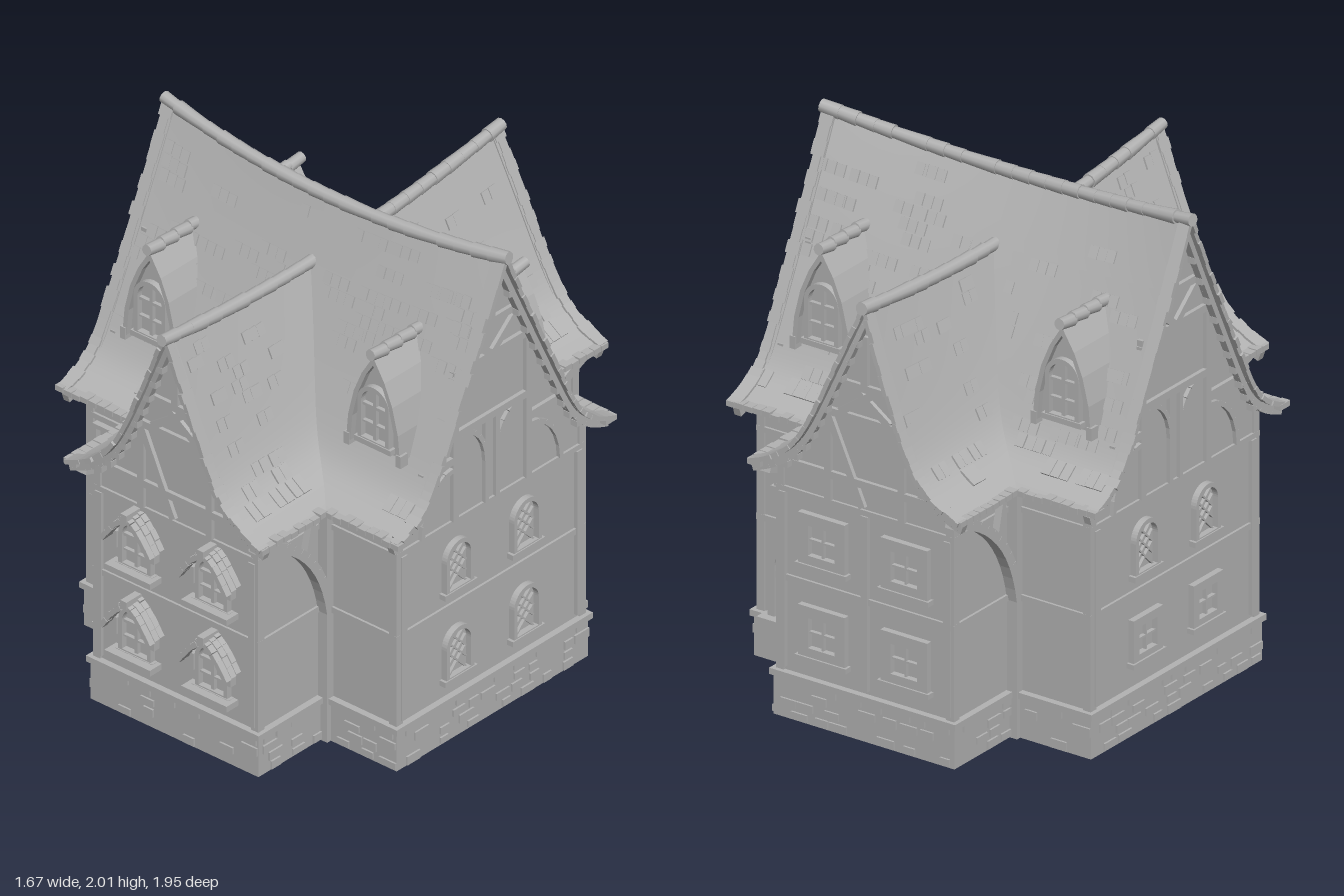
import * as THREE from 'three';
import { mergeGeometries } from 'three/addons/utils/BufferGeometryUtils.js';

const V = (x, y, z) => new THREE.Vector3(x, y, z);
const X = V(1, 0, 0), Z = V(0, 0, 1);
const SIDES = [-1, 1];
const EAVE = 1.02, TOP = 1.925, WING_TOP = 1.69;
const A = 0.74, B = 0.51, C = 0.39, D = 0.87; // half sizes of main block (A, B) and wing (C, D)

export function createModel() {
  const house = new THREE.Group();
  house.name = 'house';
  const grey = new THREE.MeshStandardMaterial({ color: 0xb2b2b2, side: THREE.DoubleSide });
  grey.name = 'plain grey';
  let seed = 7;
  const rnd = (a = 0, b = 1) => {
    seed = (seed * 16807) % 2147483647;
    return a + (b - a) * seed / 2147483647;
  };

  // ---- helpers
  const part = (name, geos, parent = house) => {
    const mesh = new THREE.Mesh(mergeGeometries(geos.map(g => (g.index ? g.toNonIndexed() : g))), grey);
    mesh.name = name;
    parent.add(mesh);
    return mesh;
  };
  const between = (geo, a, b, side) => {
    const dir = b.clone().sub(a).normalize();
    const out = side.clone().cross(dir).normalize();
    const m = new THREE.Matrix4().makeBasis(dir.clone().cross(out), dir, out);
    return geo.applyMatrix4(m.setPosition(a.clone().add(b).multiplyScalar(0.5)));
  };
  const beam = (a, b, w, d, side) => between(new THREE.BoxGeometry(w, a.distanceTo(b), d), a, b, side);
  const rod = (a, b, r, side) => between(new THREE.CylinderGeometry(r, r * 1.12, a.distanceTo(b), 10), a, b, side);
  const box = (w, h, d, x, y, z) => new THREE.BoxGeometry(w, h, d).translate(x, y, z);
  const extrude = (shape, depth) => new THREE.ExtrudeGeometry(shape, { depth, bevelEnabled: false, curveSegments: 10 });
  const poly = pts => new THREE.Shape(pts.map(p => new THREE.Vector2(p[0], p[1])));

  // ---- roof profile: half width at a height, with flared eaves and sagging ridges
  const mainWidth = y => { const h = (y - EAVE) / (TOP - EAVE); return 0.455 * (1 - h) + 0.135 * Math.exp(-h / 0.05) * (1 - h); };
  const wingWidth = y => {
    if (y >= WING_TOP) return 0;
    const h = (y - EAVE) / (WING_TOP - EAVE);
    return 0.3 * (1 - h) + 0.17 * Math.exp(-h / 0.1) * (1 - h);
  };
  const warp = (x, y, z) => {
    const k = (y - EAVE) / (TOP - EAVE), u = (x / 0.82) ** 2;
    return V(x + 0.035 * k * z / 0.95, y + k * (0.055 * u + 0.09 * (z / 0.95) ** 2), z + 0.045 * k * k * (1 - u));
  };
  const mainAt = (x, y, s) => warp(x, y, s * mainWidth(y));
  const wingAt = (z, y, s) => warp(s * wingWidth(y), y, z);
  const patch = (rows, cols, fn) => {
    const pos = [], idx = [];
    for (let i = 0; i <= rows; i++) for (let j = 0; j <= cols; j++) {
      pos.push(...fn(i / rows, j / cols).toArray());
      if (i < rows && j < cols) {
        const a = i * (cols + 1) + j, b = a + cols + 1;
        idx.push(a, a + 1, b, b, a + 1, b + 1);
      }
    }
    const g = new THREE.BufferGeometry();
    g.setAttribute('position', new THREE.Float32BufferAttribute(pos, 3));
    g.setIndex(idx);
    g.computeVertexNormals();
    return g;
  };
  const lerp = THREE.MathUtils.lerp;
  const lowY = t => EAVE + (WING_TOP - EAVE) * t ** 1.8;
  const mainRoof = [], wingRoof = [];
  for (const sx of SIDES) for (const sz of SIDES) {
    mainRoof.push(patch(24, 10, (t, j) => mainAt(sx * lerp(wingWidth(lowY(t)), 0.81, j), lowY(t), sz)));
    mainRoof.push(patch(6, 10, (t, j) => mainAt(sx * 0.81 * j, lerp(WING_TOP, TOP, t), sz)));
    wingRoof.push(patch(24, 10, (t, j) => wingAt(sz * lerp(mainWidth(lowY(t)), 0.94, j), lowY(t), sx)));
  }
  part('mainRoof', mainRoof);
  part('wingRoof', wingRoof);

  // ---- ridge caps, verge tiles, bargeboards, eave tiles and scattered shingles
  const caps = [], verge = [], barge = [], eave = [], shingles = [];
  for (let i = 0; i < 22; i++) {
    const x = -0.83 + i * 1.66 / 22;
    caps.push(rod(mainAt(x, TOP, 1), mainAt(x + 0.08, TOP, 1), rnd(0.022, 0.026), Z));
  }
  for (const s of SIDES) for (let i = 0; i < 11; i++) {
    const z = s * (0.1 + i * 0.078);
    caps.push(rod(wingAt(z, WING_TOP, 1), wingAt(z + s * 0.082, WING_TOP, 1), rnd(0.022, 0.026), X));
  }
  const edge = (at, top, side, end, boardEnd) => {
    const n = 26, yAt = i => EAVE + (top - EAVE) * (i / n) ** 1.5;
    for (const e of SIDES) for (const s of SIDES) for (let i = 0; i < n; i++) {
      const a = at(e * end, yAt(i), s), b = at(e * end, yAt(i + 1), s);
      verge.push(beam(a, b, rnd(0.035, 0.06), 0.018, side));
      const c = at(e * boardEnd, yAt(i), s), d = at(e * boardEnd, yAt(i + 1), s);
      c.y -= 0.03; d.y -= 0.03;
      barge.push(beam(c, d, 0.03, 0.035, side));
      if (i % 2 && i > 3 && i < n - 2) {
        const out = c.clone().lerp(d, 0.5).add(V(0, -0.025, 0));
        barge.push(box(0.03, 0.025, 0.03, out.x, out.y, out.z));
      }
    }
  };
  edge(mainAt, TOP, X, 0.8, 0.785);
  edge(wingAt, WING_TOP, Z, 0.93, 0.915);
  for (const sx of SIDES) for (const sz of SIDES) {
    for (let x = 0.49; x < 0.82; x += 0.04) eave.push(box(0.036, 0.022, 0.06, sx * x, EAVE + rnd(-0.006, 0.002), sz * 0.57));
    for (let z = 0.61; z < 0.95; z += 0.04) eave.push(box(0.06, 0.022, 0.036, sx * 0.45, EAVE + rnd(-0.006, 0.002), sz * z));
  }
  for (const s of SIDES) for (let i = 0; i < 75; i++) {
    const y = EAVE + 0.04 + 0.045 * Math.floor(rnd(0, 18)), x = rnd(-0.76, 0.76);
    for (let j = 0; j < 3; j++) {
      const u = x + j * 0.04;
      if (Math.abs(u) > wingWidth(y) + 0.05 && Math.abs(u) < 0.79)
        shingles.push(beam(mainAt(u, y, s), mainAt(u, y + 0.04, s), 0.037, rnd(0.008, 0.016), X));
    }
  }
  for (const s of SIDES) for (const e of SIDES) for (let i = 0; i < 22; i++) {
    const y = EAVE + 0.04 + 0.045 * Math.floor(rnd(0, 13)), z = rnd(mainWidth(y) + 0.05, 0.84);
    for (let j = 0; j < 2; j++)
      shingles.push(beam(wingAt(e * (z + j * 0.04), y, s), wingAt(e * (z + j * 0.04), y + 0.04, s), 0.037, rnd(0.008, 0.016), Z));
  }
  part('ridgeCaps', caps);
  part('vergeTiles', verge);
  part('bargeboards', barge);
  part('eaveTiles', eave);
  part('shingles', shingles);

  // ---- hollow cross-shaped walls, stone base and floor bands
  const cross = e => {
    const a = A + e, b = B + e, c = C + e, d = D + e;
    return [[a, b], [c, b], [c, d], [-c, d], [-c, b], [-a, b], [-a, -b], [-c, -b], [-c, -d], [c, -d], [c, -b], [a, -b]];
  };
  const ring = (y0, y1, out, inner = -0.04) => {
    const s = poly(cross(out));
    s.holes.push(poly(cross(inner)));
    return extrude(s, y1 - y0).rotateX(-Math.PI / 2).translate(0, y0, 0);
  };
  part('walls', [ring(0, 1.03, 0)]);
  part('stoneBase', [ring(0, 0.165, 0.015), ring(0.16, 0.185, 0.027)]);
  part('floorBands', [ring(0.545, 0.57, 0.01), ring(0.9, 0.922, 0.01)]);
  const gables = [], ys = Array.from({ length: 25 }, (_, i) => (i / 24) ** 1.6);
  const outline = (at, top, axis, limit) => {
    const half = s => ys.map(t => { const p = at(EAVE + (top - EAVE) * t, s); return [THREE.MathUtils.clamp(p[axis], -limit, limit), p.y - 0.012]; });
    return poly([...half(1), ...half(-1).reverse()]);
  };
  for (const e of SIDES) {
    gables.push(extrude(outline((y, s) => mainAt(e * A, y, s), TOP, 'z', B), 0.04).rotateY(-Math.PI / 2).translate(e > 0 ? A : -A + 0.04, 0, 0));
    gables.push(extrude(outline((y, s) => wingAt(e * D, y, s), WING_TOP, 'x', C), 0.04).translate(0, 0, e > 0 ? D - 0.04 : -D));
  }
  part('gableWalls', gables);

  // Base stones, scattered along every straight wall, and posts at each corner
  const stones = [], posts = [], pts = cross(0.015);
  pts.forEach(([x, z], i) => {
    const [x2, z2] = pts[(i + 1) % pts.length], len = Math.hypot(x2 - x, z2 - z), alongX = z === z2;
    for (let r = 0; r < 4; r++) for (let u = 0.04; u < len - 0.04; u += rnd(0.07, 0.13)) {
      if (rnd() < 0.45) continue;
      const w = rnd(0.04, 0.08), t = u / len, h = rnd(0.025, 0.036);
      stones.push(box(alongX ? w : 0.016, h, alongX ? 0.016 : w, lerp(x, x2, t), 0.022 + r * 0.042, lerp(z, z2, t)));
    }
    posts.push(box(0.035, 0.85, 0.035, Math.sign(x) * (Math.abs(x) - 0.023), 0.6, Math.sign(z) * (Math.abs(z) - 0.023)));
  });
  part('baseStones', stones);
  part('cornerPosts', posts);

  // ---- curved braces beside the wing, under the eaves
  const braces = [];
  for (const sx of SIDES) for (const sz of SIDES) {
    const x = sx * 0.415;
    const curve = new THREE.QuadraticBezierCurve3(V(x, 0.55, sz * 0.525), V(x, 0.9, sz * 0.58), V(x, 1, sz * 0.92)).getPoints(12);
    for (let i = 0; i < 12; i++) braces.push(beam(curve[i], curve[i + 1], 0.045, 0.04, X));
    braces.push(box(0.045, 1.02, 0.04, x, 0.51, sz * 0.525));
    braces.push(box(0.045, 0.03, 0.4, x, 1.0, sz * 0.72));
    braces.push(beam(V(x, 0.83, sz * 0.64), V(x, 1, sz * 0.6), 0.03, 0.025, X));
  }
  part('eaveBraces', braces);

  // ---- wall faces: local x to the right, y up, z outwards
  const face = (name, turn, dist) => {
    const g = new THREE.Group();
    g.name = name;
    g.rotation.y = turn;
    g.position.set(Math.sin(turn) * dist, 0, Math.cos(turn) * dist);
    house.add(g);
    return g;
  };
  const bar = (u1, v1, u2, v2, w = 0.03, d = 0.024, z = 0.004) => between(new THREE.BoxGeometry(d, Math.hypot(u2 - u1, v2 - v1), w), V(u1, v1, z), V(u2, v2, z), Z);
  const strut = (u1, v1, u2, v2, w) => between(new THREE.BoxGeometry(0.024, Math.hypot(u2 - u1, v2 - v1), w ?? 0.03), V(u1, v1, 0.004), V(u2, v2, 0.004), Z).applyMatrix4(new THREE.Matrix4());
  const flat = (u1, v1, u2, v2, w = 0.03, d = 0.024, z = 0.004) =>
    new THREE.BoxGeometry(Math.hypot(u2 - u1, v2 - v1), w, d).rotateZ(Math.atan2(v2 - v1, u2 - u1)).translate((u1 + u2) / 2, (v1 + v2) / 2, z);
  const lines = list => list.map(l => flat(...l));
  const arch = (w, y0, y1) => {
    const s = new THREE.Shape();
    s.moveTo(-w, y0).lineTo(w, y0).lineTo(w, y1 - w).absarc(0, y1 - w, w, 0, Math.PI).lineTo(-w, y0);
    return s;
  };
  const archWindow = (parent, name, u, v, w, h, lattice) => {
    const s = arch(w + 0.018, v - 0.015, v + h + 0.018);
    s.holes.push(arch(w, v, v + h));
    const bars = lattice
      ? SIDES.flatMap(k => [-0.5, 0, 0.5].map(o => flat(-w * 0.8, v + h * (0.5 + o * 0.5) - k * w * 0.8, w * 0.8, v + h * (0.5 + o * 0.5) + k * w * 0.8, 0.007, 0.012, 0.006)))
      : lines([[0, v, 0, v + h, 0.014], [-w, v + h * 0.65, w, v + h * 0.65, 0.012], [-w, v + h * 0.3, w, v + h * 0.3, 0.008]]);
    part(name, [extrude(s, 0.03).translate(0, 0, -0.005), box(w * 2 + 0.06, 0.022, 0.04, 0, v - 0.016, 0.01), ...bars], parent).position.x = u;
  };
  const squareWindow = (parent, name, u, v, r, rim) => {
    const s = poly([[-r - rim, -r - rim], [r + rim, -r - rim], [r + rim, r + rim], [-r - rim, r + rim]]);
    s.holes.push(poly([[-r, -r], [r, -r], [r, r], [-r, r]]));
    part(name, [extrude(s, 0.025), ...lines([[-r, 0, r, 0, 0.008], [0, -r, 0, r, 0.008]]),
      box(2 * (r + rim) + 0.02, 0.02, 0.045, 0, -r - rim, 0.01)], parent).position.set(u, v, 0);
  };
  const hood = (parent, u, v) => {
    const tiles = [];
    for (const s of SIDES) for (let i = 0; i < 5; i++) {
      const q = t => [s * 0.115 * (1 - t), v + 0.125 * Math.sin(t * 1.4) ];
      const [a, b] = q(i / 5), [c, d] = q((i + 1) / 5);
      for (let j = 0; j < 3; j++) tiles.push(flat(a, b, c, d, 0.02, 0.027, 0.012 + j * 0.027).translate(0, -j * 0.006 + rnd(-0.003, 0.003), 0));
    }
    tiles.push(box(0.03, 0.03, 0.09, 0, v + 0.125, 0.04));
    for (const s of SIDES) tiles.push(box(0.018, 0.07, 0.03, s * 0.09, v - 0.025, 0.015));
    part('windowHood', tiles, parent).position.x = u;
  };

  const front = face('frontFace', 0, D), back = face('backFace', Math.PI, D);
  const right = face('leftFace', Math.PI / 2, A), left = face('rightFace', -Math.PI / 2, A);
  for (const f of [front, back]) part('gableTimbers', lines([
    [-0.38, 1.025, 0.38, 1.025], [-0.165, 0.92, -0.165, 1.27], [0.165, 0.92, 0.165, 1.27], [-0.18, 1.28, 0.18, 1.28],
    [-0.16, 1.26, -0.01, 0.93], [-0.11, 1.41, 0.11, 1.41], [-0.11, 1.29, 0.06, 1.41], [0.11, 1.29, -0.06, 1.41],
    [0, 1.41, 0, 1.62], [-0.37, 0.2, -0.37, 0.9], [0.37, 0.2, 0.37, 0.9]]), f);
  for (const f of [right, left]) {
    part('gableTimbers', lines([
      [-0.2, 0.92, -0.2, 1.53], [0.2, 0.92, 0.2, 1.53], [-0.2, 1.28, 0.2, 1.28], [-0.21, 1.54, 0.21, 1.54],
      [-0.38, 1.18, -0.2, 1.18], [0.2, 1.18, 0.38, 1.18], [-0.12, 1.68, 0.12, 1.68], [-0.14, 1.66, 0, 1.54],
      [0.14, 1.66, 0, 1.54], [0, 1.68, 0, 1.86], [-0.03, 0.92, -0.03, 1.28, 0.02], [0.03, 0.92, 0.03, 1.28, 0.02],
      [-0.48, 0.2, -0.48, 0.9], [0.48, 0.2, 0.48, 0.9]]), f);
    const arcs = [];
    for (const s of SIDES) for (const [x, r, y] of [[0.03, 0.13, 1.1], [0.21, 0.17, 0.92]]) for (let i = 0; i < 6; i++) {
      const q = t => x === 0.03 ? [s * (x + r * (1 - Math.cos(t))), y + 0.17 * Math.sin(t)] : [s * (x + r * Math.cos(t)), y + 0.22 * Math.sin(t)];
      arcs.push(flat(...q(i * Math.PI / 12), ...q((i + 1) * Math.PI / 12), 0.02));
    }
    part('curvedTimbers', arcs, f);
  }
  for (const u of [-0.185, 0.185]) for (const v of [0.27, 0.64]) {
    archWindow(front, 'frontWindow', u, v + 0.015, 0.06, 0.18, false);
    part('windowSill', [box(0.22, 0.025, 0.07, u, v - 0.004, 0.03)], front);
    hood(front, u, v + 0.13);
    squareWindow(back, 'backWindow', u, v + 0.1, 0.06, 0.045);
    archWindow(right, 'latticeWindow', u, v, 0.058, 0.18, true);
    if (v > 0.5) archWindow(left, 'latticeWindow', u, v, 0.058, 0.18, true);
    else squareWindow(left, 'sideWindow', u, v + 0.1, 0.055, 0.035);
  }
  part('backMidPost', lines([[0, 0.2, 0, 0.9]]), back);

  // ---- small windows and the door on the recessed walls
  const frontRecess = face('frontRecess', 0, B), backRecess = face('backRecess', Math.PI, B);
  squareWindow(frontRecess, 'smallWindow', -0.645, 0.83, 0.042, 0.018);
  squareWindow(frontRecess, 'smallWindow', -0.475, 0.475, 0.042, 0.018);
  squareWindow(backRecess, 'smallWindow', -0.6, 0.76, 0.042, 0.018);
  const doorFrame = arch(0.095, 0.17, 0.49);
  doorFrame.holes.push(arch(0.065, 0.17, 0.46));
  part('door', [extrude(doorFrame, 0.035), extrude(arch(0.065, 0.17, 0.46), 0.008),
    ...lines([[-0.02, 0.18, -0.02, 0.44, 0.006], [0.02, 0.18, 0.02, 0.44, 0.006]]), box(0.24, 0.03, 0.08, 0, 0.175, 0.03)], backRecess).position.x = -0.585;

  // ---- four pointed dormers
  const curveOf = o => [[0.122 + o, 1.23], [0.112 + o, 1.34], [0.085 + o, 1.45], [0.047 + o, 1.54], [0, 1.615 + o * 1.8]];
  const full = o => { const c = curveOf(o); return [...c, ...c.slice(0, 4).reverse().map(([x, y]) => [-x, y])]; };
  for (const turn of [0, Math.PI]) for (const sx of SIDES) {
    const d = new THREE.Group();
    d.name = 'dormer';
    d.rotation.y = turn;
    d.position.x = sx * 0.54;
    house.add(d);
    part('dormerBody', [extrude(poly(full(-0.008)), 0.3).translate(0, 0, 0.085)], d);
    part('dormerRoof', [extrude(poly([...full(0.008), ...full(-0.012).reverse()]), 0.34).translate(0, 0, 0.07)], d);
    const ridge = [0, 1, 2, 3].map(i => rod(V(0, 1.635, 0.12 + i * 0.075), V(0, 1.645, 0.2 + i * 0.075), 0.022, X));
    part('dormerRidge', ridge, d);
    part('dormerFeet', SIDES.map(s => box(0.025, 0.05, 0.04, s * 0.125, 1.235, 0.395)), d);
    const w = new THREE.Group();
    w.name = 'dormerWindowPlace';
    w.position.z = 0.385;
    d.add(w);
    archWindow(w, 'dormerWindow', 0, 1.27, 0.058, 0.21, false);
  }
  return house;
}
